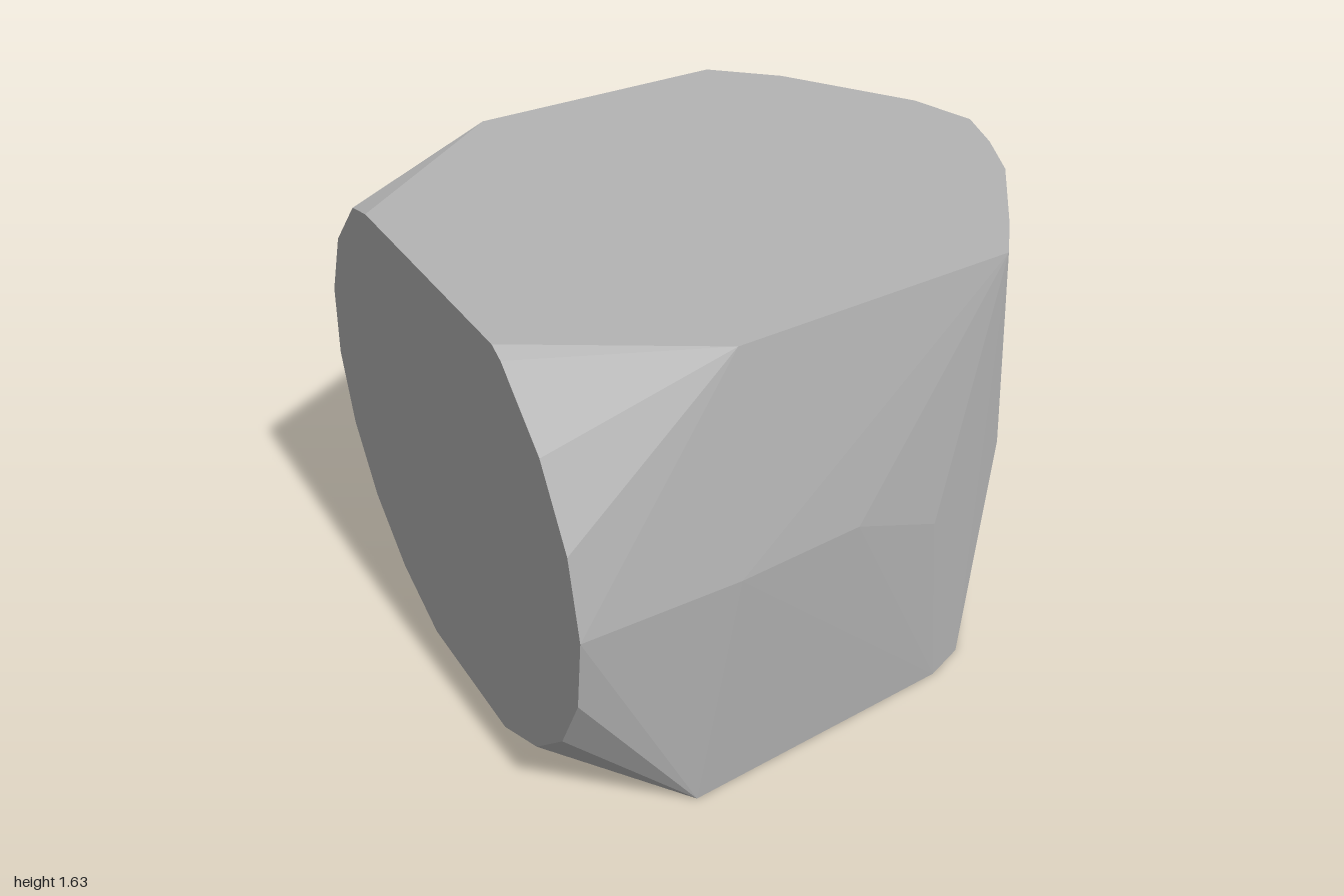
import * as THREE from 'three';
import { ConvexGeometry } from 'three/addons/geometries/ConvexGeometry.js';

const TOP = 1.63;

export function createModel() {
  const group = new THREE.Group();
  group.name = 'facetedBlock';
  const grey = new THREE.MeshStandardMaterial({ color: 0xb4b4b4, flatShading: true });
  grey.name = 'stone grey';

  const points = [];
  const ring = (y, outline) => outline.forEach(([x, z]) => points.push(new THREE.Vector3(x, y, z)));

  // flat top outline, pointed towards +x and cut straight at -x
  ring(TOP, [
    [-1, 0.46], [-0.47, 0.81], [0.45, 0.8], [0.57, 0.665], [0.8, 0.38], [0.89, 0.2], [0.95, 0.03],
    [0.89, -0.19], [0.63, -0.61], [0.44, -0.8], [-0.42, -0.82], [-1, -0.4],
  ]);

  // flat base outline
  ring(0, [
    [-0.6, 0.79], [0.37, 0.75], [0.51, 0.7], [0.75, 0.44], [0.91, 0.22], [1, 0],
    [0.95, -0.15], [0.8, -0.43], [0.5, -0.72], [-0.55, -0.785],
  ]);

  // bulging waist, nearly mirrored front to back
  for (const s of [1, -1]) {
    ring(0.91, [[-0.5, s * 0.885], [-0.08, s * 0.865]]);
    ring(0.75, [[0.25, s * 0.82]]);
    ring(0.88, [[0.57, s * 0.72], [0.84, s * 0.37]]);
  }

  // round flat end at -x, cut off by the top
  const sides = 20;
  for (let i = 0; i < sides; i++) {
    const a = (i / sides) * Math.PI * 2;
    const y = 0.905 + Math.sin(a) * 0.865;
    if (y < TOP) points.push(new THREE.Vector3(y < 0.08 ? -0.98 : -1, y, Math.cos(a) * 0.865));
  }

  const block = new THREE.Mesh(new ConvexGeometry(points), grey);
  block.name = 'block';
  group.add(block);
  return group;
}
